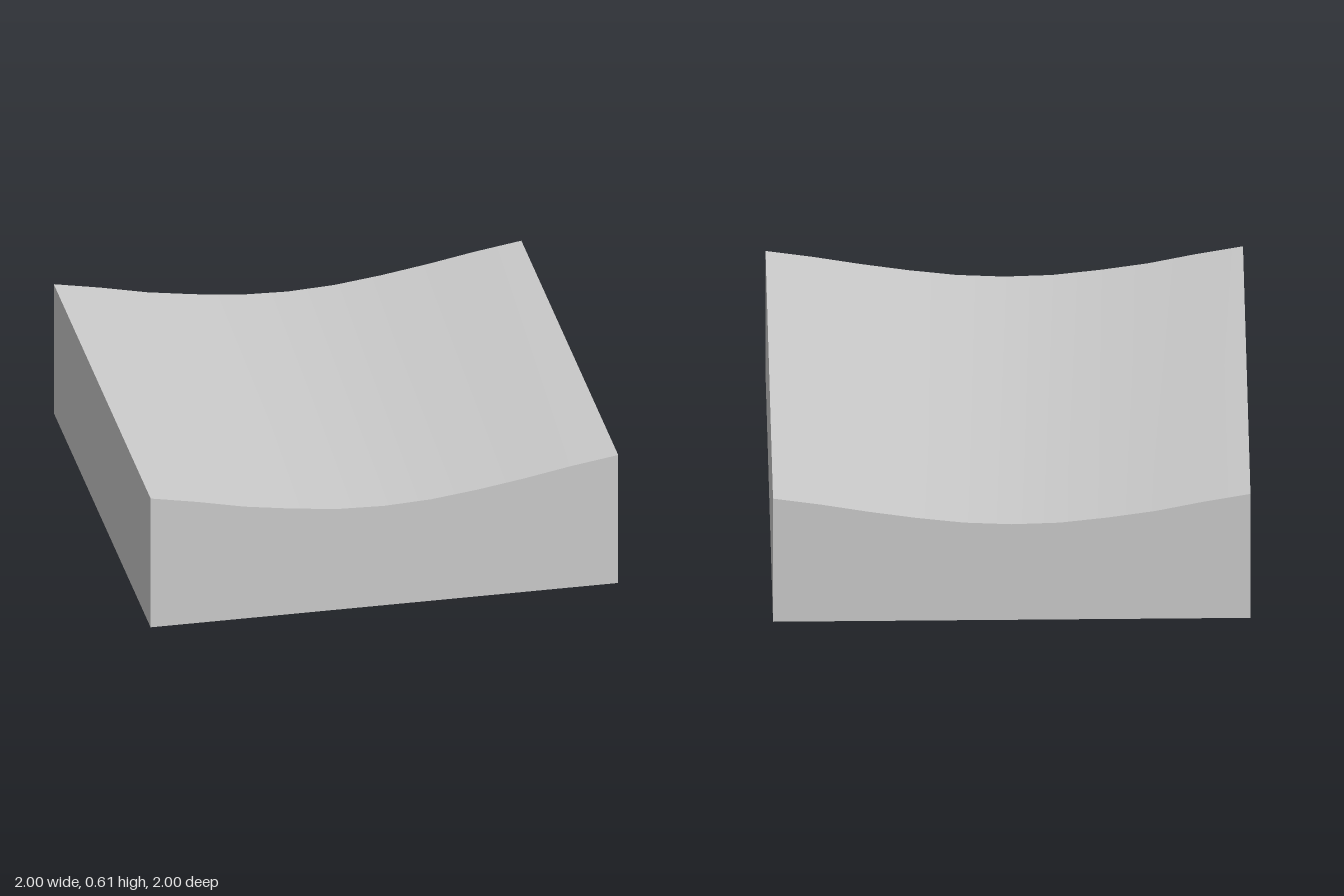
import * as THREE from 'three';
import { mergeGeometries } from 'three/addons/utils/BufferGeometryUtils.js';

// Heights of the dished top, evenly spaced from x = -1 to x = 1
const HEIGHTS = [0.607, 0.57, 0.527, 0.497, 0.474, 0.468, 0.478, 0.503, 0.535, 0.572, 0.603];
const STEPS = HEIGHTS.length - 1;
const INNER = 0.85; // half width of the underside recess
const DEPTH = 0.38; // depth of the recess

// Upright panel under the curved edge, facing +z
function endPanel(heights) {
  const shape = new THREE.Shape();
  shape.moveTo(-1, 0);
  shape.lineTo(1, 0);
  for (let i = STEPS; i >= 0; i--) shape.lineTo(-1 + (2 * i) / STEPS, heights[i]);
  shape.closePath();
  return new THREE.ShapeGeometry(shape).translate(0, 0, 1);
}

// Upright rectangle standing on the ground, facing +z, at distance z
function wall(width, height, z) {
  return new THREE.PlaneGeometry(width, height).translate(0, height / 2, z);
}

function squarePath(path, r) {
  path.moveTo(-r, -r);
  path.lineTo(r, -r);
  path.lineTo(r, r);
  path.lineTo(-r, r);
  path.closePath();
  return path;
}

export function createModel() {
  const group = new THREE.Group();
  group.name = 'dishedBlock';
  const material = new THREE.MeshStandardMaterial({ color: 0xcccccc });
  const add = (name, geometry) => {
    const mesh = new THREE.Mesh(geometry, material);
    mesh.name = name;
    group.add(mesh);
  };

  // Smooth concave top
  const top = new THREE.PlaneGeometry(2, 2, STEPS, 1).rotateX(-Math.PI / 2);
  const pos = top.attributes.position;
  for (let i = 0; i < pos.count; i++) {
    pos.setY(i, HEIGHTS[Math.round(((pos.getX(i) + 1) / 2) * STEPS)]);
  }
  top.computeVertexNormals();
  add('curvedTop', top);

  // Outer sides
  add('outerSides', mergeGeometries([
    endPanel(HEIGHTS),
    endPanel([...HEIGHTS].reverse()).rotateY(Math.PI),
    wall(2, HEIGHTS[STEPS], 1).rotateY(Math.PI / 2),
    wall(2, HEIGHTS[0], 1).rotateY(-Math.PI / 2),
  ]));

  // Bottom rim around the square opening
  const rim = squarePath(new THREE.Shape(), 1);
  rim.holes.push(squarePath(new THREE.Path(), INNER));
  add('bottomRim', new THREE.ShapeGeometry(rim).rotateX(Math.PI / 2));

  // Hollow underside: four inward-facing walls and a ceiling
  const recess = [0, 1, 2, 3].map((i) =>
    wall(2 * INNER, DEPTH, -INNER).rotateY((i * Math.PI) / 2));
  recess.push(new THREE.PlaneGeometry(2 * INNER, 2 * INNER)
    .rotateX(Math.PI / 2).translate(0, DEPTH, 0));
  add('undersideRecess', mergeGeometries(recess));

  return group;
}
